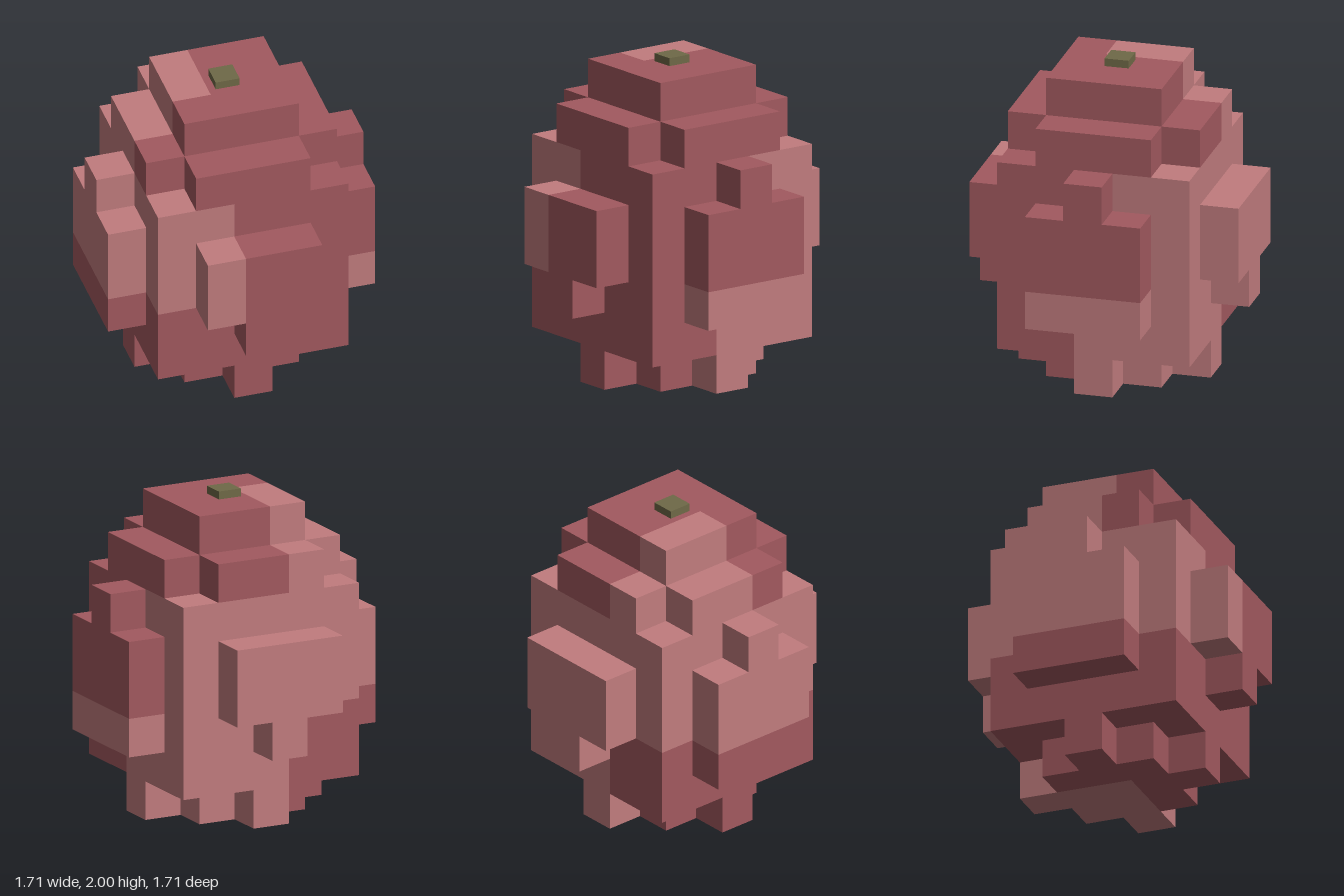
import * as THREE from 'three';

const U = 1.95 / 8; // size of one block cell

function material(name, color) {
  const m = new THREE.MeshStandardMaterial({ color });
  m.name = name;
  return m;
}

export function createModel() {
  const dark = material('darkRed', 0xa2595f);
  const pale = material('palePink', 0xc17c7e);
  const stemGreen = material('stemOlive', 0x6f6947);
  const model = new THREE.Group();
  model.name = 'blockEgg';

  // One part from boxes given as inclusive cell ranges; x and z count from the centre, y from the ground
  function part(name, boxes) {
    const group = new THREE.Group();
    group.name = name;
    for (const [mat, x0, x1, y0, y1, z0, z1] of boxes) {
      const mesh = new THREE.Mesh(
        new THREE.BoxGeometry((x1 - x0 + 1) * U, (y1 - y0 + 1) * U, (z1 - z0 + 1) * U), mat);
      mesh.position.set((x0 + x1) / 2 * U, (y0 + y1 + 1) / 2 * U, (z0 + z1) / 2 * U);
      mesh.name = name + (mat === dark ? 'Dark' : 'Pale');
      group.add(mesh);
    }
    model.add(group);
  }

  // Diamond-shaped stepped foot
  part('base', [
    [pale, 0, 0, 0, 0, -2, 0], [pale, 1, 1, 0, 0, -1, 0], [pale, 2, 2, 0, 0, 0, 0],
    [dark, 0, 0, 0, 0, 1, 2], [dark, 1, 1, 0, 0, 1, 1],
    [dark, -1, -1, 0, 0, -1, 1], [dark, -2, -2, 0, 0, 0, 0],
  ]);

  // Square body, lower and upper halves
  part('lowerBody', [
    [pale, 0, 2, 1, 2, -2, 0], [dark, 0, 2, 1, 2, 1, 2], [dark, -2, -1, 1, 2, -2, 2],
  ]);
  part('upperBody', [
    [pale, -2, -1, 3, 5, -2, 2], [pale, 0, 2, 3, 5, -2, -1], [dark, 0, 2, 3, 5, 0, 2],
  ]);

  // Shoulder tier with cut corners, then the small top tier
  part('shoulder', [
    [pale, -1, -1, 6, 6, -2, 0], [pale, -2, -2, 6, 6, -1, 0],
    [dark, -1, -1, 6, 6, 1, 2], [dark, -2, -2, 6, 6, 1, 1],
    [dark, 0, 1, 6, 6, -2, 2], [dark, 2, 2, 6, 6, -1, 1],
  ]);
  part('crown', [
    [pale, -1, -1, 7, 7, -1, 0], [dark, -1, -1, 7, 7, 1, 1], [dark, 0, 1, 7, 7, -1, 1],
  ]);

  // Raised panels on the four sides
  part('frontPanel', [
    [pale, -1, -1, 3, 4, 3, 3], [dark, 0, 1, 3, 4, 3, 3], [dark, 0, 0, 2, 2, 3, 3],
  ]);
  part('backPanel', [
    [pale, -1, 1, 3, 4, -3, -3], [pale, 0, 0, 2, 2, -3, -3],
  ]);
  for (const [name, x, low, high] of [['leftPanel', 3, pale, dark], ['rightPanel', -3, dark, pale]]) {
    part(name, [
      [low, x, x, 2, 2, -1, 1], [high, x, x, 3, 4, -1, 1], [high, x, x, 5, 5, 0, 0],
    ]);
  }

  // Short stem
  const stem = new THREE.Mesh(new THREE.BoxGeometry(0.153, 0.05, 0.153), stemGreen);
  stem.position.y = 1.975;
  stem.name = 'stem';
  model.add(stem);

  return model;
}
